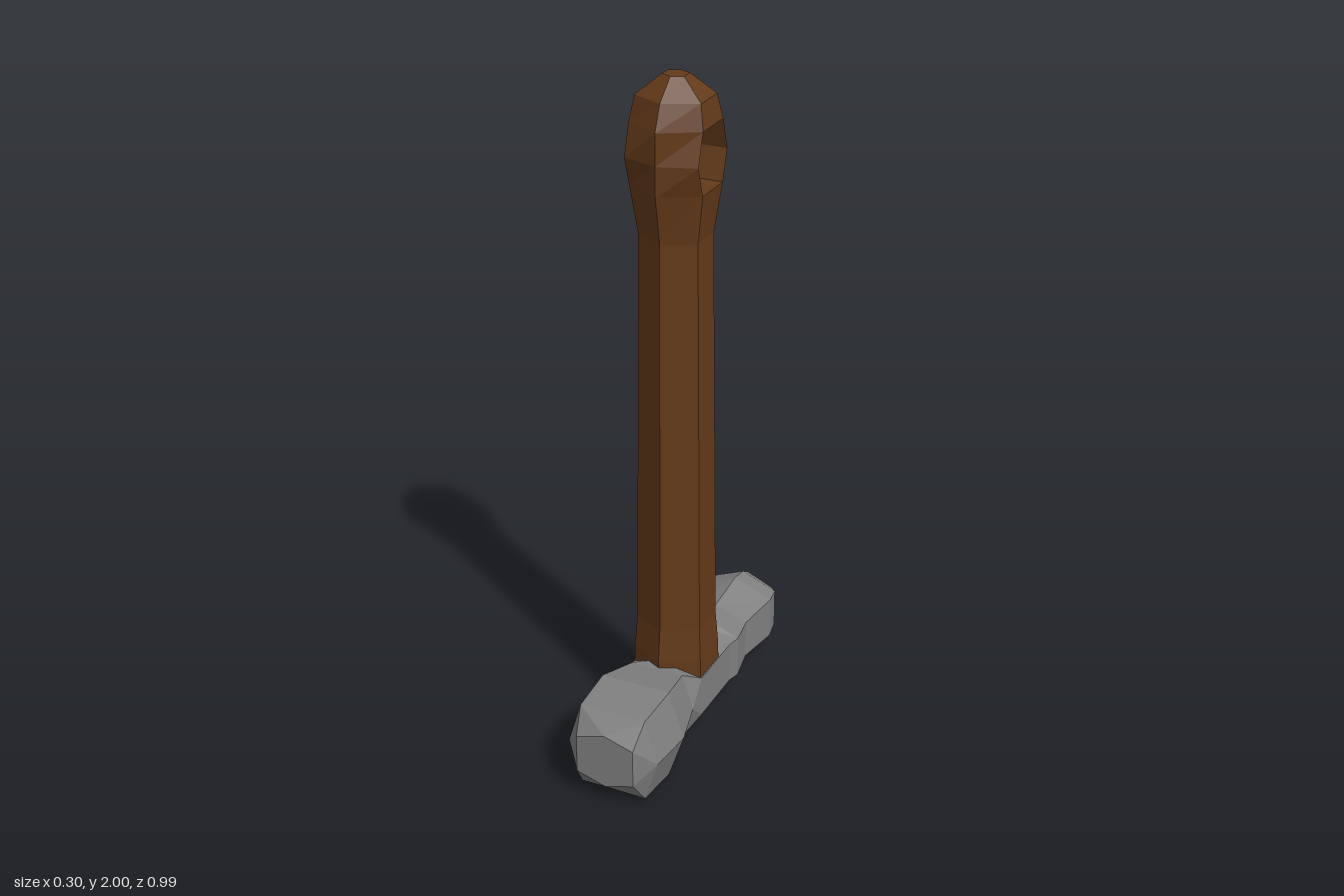
import * as THREE from 'three';

const V = (x, y, z) => new THREE.Vector3(x, y, z);

// Collects flat-shaded polygons and joins cross-section rings
class Faces {
  constructor() { this.p = []; }
  poly(...v) {
    for (let i = 1; i < v.length - 1; i++) {
      for (const q of [v[0], v[i], v[i + 1]]) this.p.push(q.x, q.y, q.z);
    }
  }
  // Quads between two rings; sides listed in skip stay open
  band(a, b, skip = []) {
    const n = a.length;
    for (let i = 0; i < n; i++) {
      const j = (i + 1) % n;
      if (!skip.includes(i)) this.poly(a[i], a[j], b[j], b[i]);
    }
  }
  // Triangles between two rings where b is turned half a step ahead of a
  zigzag(a, b) {
    const n = a.length;
    for (let i = 0; i < n; i++) {
      const j = (i + 1) % n;
      this.poly(a[i], a[j], b[i]);
      this.poly(a[j], b[j], b[i]);
    }
  }
  cap(ring, flip) { this.poly(...(flip ? [...ring].reverse() : ring)); }
  mesh(name, color) {
    const g = new THREE.BufferGeometry();
    g.setAttribute('position', new THREE.Float32BufferAttribute(this.p, 3));
    g.computeVertexNormals();
    const m = new THREE.Mesh(g, new THREE.MeshStandardMaterial({ color, flatShading: true }));
    m.name = name;
    return m;
  }
}

function handle() {
  const f = new Faces(), zc = 0.03;
  // Hexagon: half width, half depth of the side flats, half depth of the ridges
  const ring = ([y, w, s, d]) => [
    V(0, y, zc + d), V(w, y, zc + s), V(w, y, zc - s),
    V(0, y, zc - d), V(-w, y, zc - s), V(-w, y, zc + s),
  ];
  const rings = [
    [0.19, 0.108, 0.063, 0.124],
    [0.27, 0.106, 0.062, 0.122],
    [0.37, 0.1, 0.056, 0.112],
    [1.56, 0.088, 0.05, 0.1],
    [1.7, 0.107, 0.0625, 0.125],
    [1.785, 0.107, 0.09, 0.125],
    [1.875, 0.107, 0.0625, 0.125],
    [1.945, 0.095, 0.05, 0.096],
    [2.0, 0.032, 0.018, 0.034],
  ].map(ring);
  const low = 4;
  for (let i = 0; i < rings.length - 1; i++) {
    f.band(rings[i], rings[i + 1], i === low || i === low + 1 ? [1, 4] : []);
  }
  f.cap(rings[0], true);
  f.cap(rings[rings.length - 1]);
  // Walls of the hanging hole
  const [b, m, t] = rings.slice(low, low + 3);
  f.band([b[5], m[5], t[5], t[4], m[4], b[4]], [b[1], m[1], t[1], t[2], m[2], b[2]]);
  return f.mesh('handle', 0x633a1a);
}

function hammerHead() {
  const f = new Faces(), yc = 0.145;
  // Hexagon with ridges above and below and upright sides
  const ridged = ([z, w, s, h]) => [
    V(w, yc - s, z), V(w, yc + s, z), V(0, yc + h, z),
    V(-w, yc + s, z), V(-w, yc - s, z), V(0, yc - h, z),
  ];
  // Hexagon with a flat top and ridges at the sides
  const flatTop = ([z, w, t, h]) => [
    V(w, yc, z), V(t, yc + h, z), V(-t, yc + h, z),
    V(-w, yc, z), V(-t, yc - h, z), V(t, yc - h, z),
  ];
  const peen = [
    [-0.497, 0.08, 0.045, 0.08],
    [-0.455, 0.11, 0.06, 0.105],
    [-0.395, 0.12, 0.065, 0.115],
    [-0.25, 0.102, 0.06, 0.097],
    [-0.15, 0.119, 0.065, 0.111],
    [-0.11, 0.11, 0.064, 0.1],
    [0.09, 0.11, 0.064, 0.1],
  ].map(ridged);
  const face = [
    [0.16, 0.115, 0.08, 0.107],
    [0.3, 0.152, 0.105, 0.14],
    [0.445, 0.14, 0.1, 0.13],
  ].map(flatTop);
  const tip = ridged([0.497, 0.088, 0.058, 0.085]);

  for (let i = 0; i < peen.length - 1; i++) f.band(peen[i], peen[i + 1]);
  for (let i = 0; i < face.length - 1; i++) f.band(face[i], face[i + 1]);
  // Neck and bevelled striking face turn the hexagon by half a step
  f.zigzag(peen[peen.length - 1], face[0]);
  f.zigzag(face[2], [...tip.slice(1), tip[0]]);
  f.cap(peen[0], true);
  f.cap(tip);
  return f.mesh('hammerHead', 0x808080);
}

export function createModel() {
  const model = new THREE.Group();
  model.name = 'hammer';
  model.add(handle(), hammerHead());
  return model;
}
